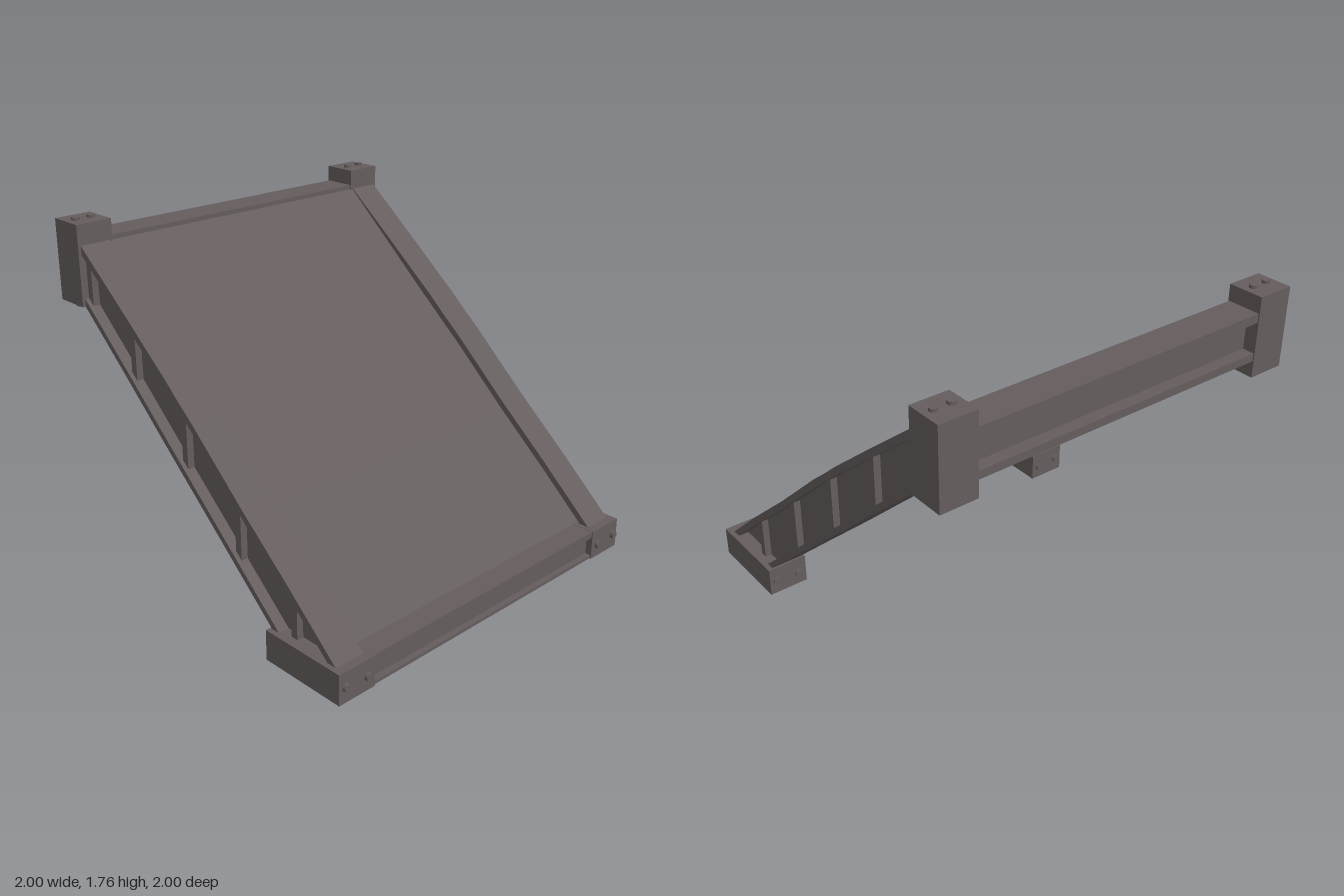
import * as THREE from 'three';

export function createModel() {
  const group = new THREE.Group();
  const steel = new THREE.MeshStandardMaterial({ color: 0x655d5d });
  steel.name = 'dark weathered steel';

  const add = (name, geometry) => {
    const mesh = new THREE.Mesh(geometry, steel);
    mesh.name = name;
    group.add(mesh);
    return mesh;
  };
  const box = (name, x0, x1, y0, y1, z0, z1) =>
    add(name, new THREE.BoxGeometry(x1 - x0, y1 - y0, z1 - z0))
      .position.set((x0 + x1) / 2, (y0 + y1) / 2, (z0 + z1) / 2);
  // Side profile in x, y extruded from z0 to z1
  const slab = (name, points, z0, z1) => {
    const shape = new THREE.Shape(points.map(([x, y]) => new THREE.Vector2(x, y)));
    add(name, new THREE.ExtrudeGeometry(shape, { depth: z1 - z0, bevelEnabled: false }))
      .position.z = z0;
  };
  const bolt = (name, x, y, z, axis) => {
    const mesh = add(name, new THREE.CylinderGeometry(0.02, 0.02, 0.05, 12));
    mesh.position.set(x, y, z);
    if (axis === 'x') mesh.rotation.z = Math.PI / 2;
  };

  // Slightly buckled upper and lower edges of the sloping girders
  const upper = [[-0.82, 1.645], [-0.5, 1.39], [-0.2, 1.147], [-0.1, 1.06], [0, 0.977], [0.33, 0.68], [0.64, 0.415], [0.94, 0.147]];
  const lower = [[-0.82, 1.345], [-0.5, 1.063], [-0.2, 0.793], [0.2, 0.44], [0.6, 0.085]];
  const deckTop = [[-0.83, 1.647], [-0.1, 1.012], [0.33, 0.63], [0.86, 0.15]];
  const heightAt = (line, x) => {
    let i = 1;
    while (i < line.length - 1 && line[i][0] < x) i++;
    const [a, b] = [line[i - 1], line[i]];
    return a[1] + (b[1] - a[1]) * (x - a[0]) / (b[0] - a[0]);
  };
  const shift = (line, d) => line.map(([x, y]) => [x, y + d]);
  const band = (top, bottom) => [...top, ...[...bottom].reverse()];

  for (const side of [1, -1]) {
    const span = (a, b) => (side > 0 ? [a, b] : [-b, -a]);
    const label = side > 0 ? 'front' : 'back';

    // Sloping I-beam with vertical stiffeners on both faces of its web
    slab(label + 'UpperFlange', band(upper, shift(upper, -0.045)), ...span(0.81, 0.972));
    slab(label + 'LowerFlange', band(shift(lower, 0.04), lower), ...span(0.81, 0.972));
    slab(label + 'Web', band(shift(upper, -0.02), shift(lower, 0.02)), ...span(0.872, 0.915));
    for (const x of [-0.795, -0.465, -0.095, 0.275, 0.645]) {
      const [a, b] = [x - 0.019, x + 0.019];
      slab(label + 'Stiffener', [
        [a, heightAt(upper, a) - 0.03], [b, heightAt(upper, b) - 0.03],
        [b, Math.max(0.1, heightAt(lower, b) + 0.02)], [a, Math.max(0.1, heightAt(lower, a) + 0.02)],
      ], ...span(0.835, 0.95));
    }

    // Corner blocks
    box(label + 'TopBlock', -0.998, -0.812, 1.338, 1.742, ...span(0.795, 0.987));
    box(label + 'FootBlock', 0.508, 0.98, 0, 0.155, ...span(0.785, 0.998));

    // Bolt heads
    for (const z of [0.85, 0.935]) {
      bolt(label + 'TopBolt', -0.9, 1.732, side * z, 'y');
      bolt(label + 'UnderBolt', -0.92, 1.338, side * z, 'y');
    }
    for (const [y, z] of [[0.07, 0.83], [0.08, 0.96]]) {
      bolt(label + 'FootOuterBolt', 0.973, y, side * z, 'x');
      bolt(label + 'FootInnerBolt', 0.52, y, side * z, 'x');
    }
  }

  // Thin ramp deck between the girders, open below
  slab('deck', band(deckTop, shift(deckTop, -0.045)), -0.875, 0.875);

  // Upper cross beam
  box('topBeamUpperFlange', -0.992, -0.818, 1.615, 1.66, -0.8, 0.8);
  box('topBeamWeb', -0.93, -0.88, 1.44, 1.64, -0.8, 0.8);
  box('topBeamLowerFlange', -0.992, -0.818, 1.42, 1.46, -0.8, 0.8);

  // Lower cross beam
  box('footBeamUpperFlange', 0.82, 0.975, 0.12, 0.154, -0.79, 0.79);
  box('footBeamWeb', 0.86, 0.945, 0.015, 0.13, -0.79, 0.79);
  box('footBeamLowerFlange', 0.82, 0.975, 0.003, 0.02, -0.79, 0.79);

  return group;
}
